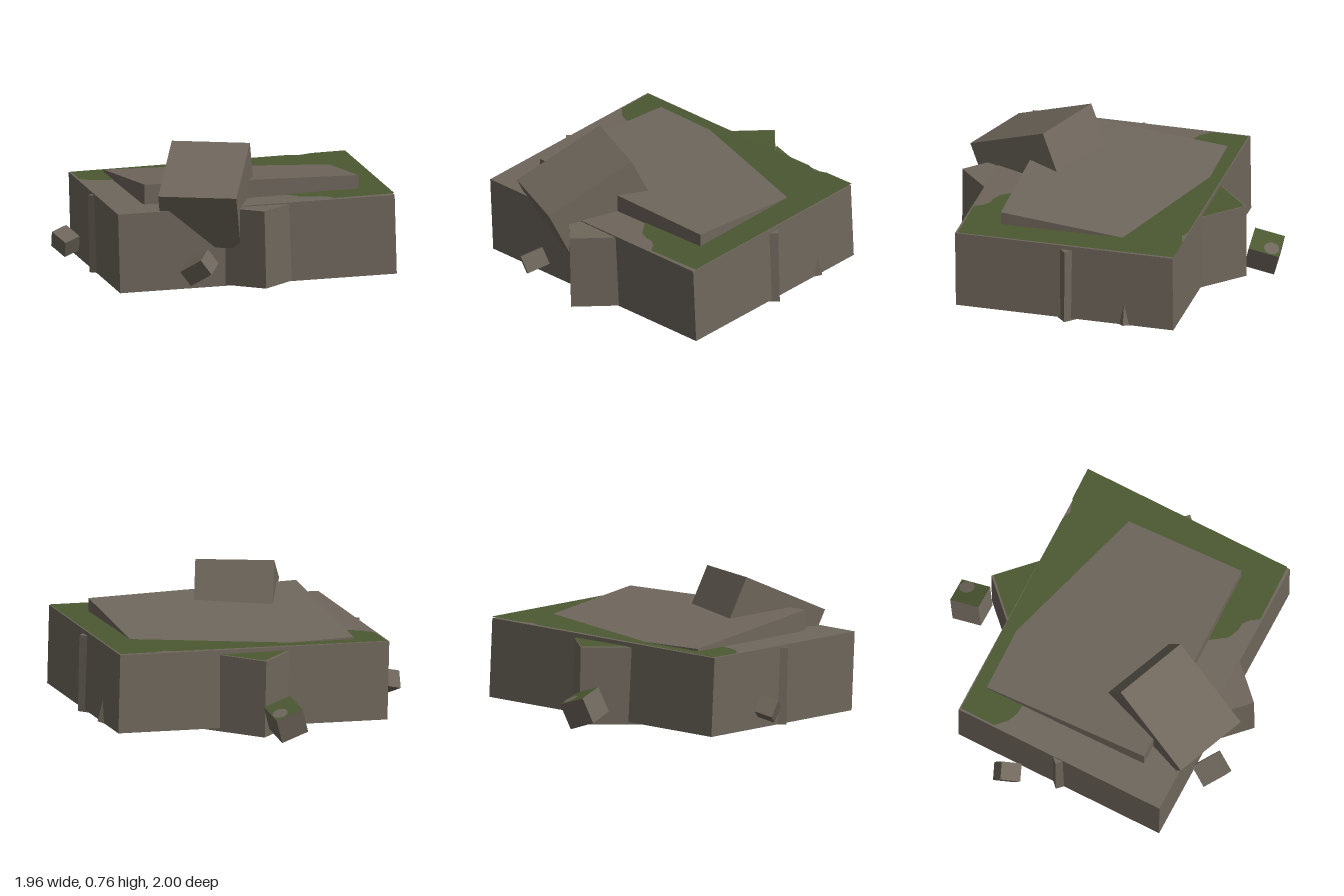
import * as THREE from 'three';

const stone = new THREE.MeshStandardMaterial({ color: 0x6f675c });
stone.name = 'stone';
const moss = new THREE.MeshStandardMaterial({ color: 0x4c5932 });
moss.name = 'moss';

// Box given by size, centre and rotation
function block(name, size, pos, rot, material = stone) {
  const mesh = new THREE.Mesh(new THREE.BoxGeometry(...size), material);
  mesh.name = name;
  mesh.position.set(...pos);
  mesh.rotation.set(...rot);
  return mesh;
}

// Slanted box given by one corner and its three edge vectors (right-handed)
function slanted(name, corner, a, b, c) {
  const m = new THREE.Matrix4().makeBasis(
    new THREE.Vector3(...a), new THREE.Vector3(...b), new THREE.Vector3(...c));
  m.setPosition(...corner);
  const geo = new THREE.BoxGeometry(1, 1, 1).translate(0.5, 0.5, 0.5).applyMatrix4(m);
  const mesh = new THREE.Mesh(geo, stone);
  mesh.name = name;
  return mesh;
}

// Thin moss patch: an outline in x, z laid on the sloping plane y = h + sx*x + sz*z
function patch(name, outline, h, sx, sz) {
  const shape = new THREE.Shape(outline.map(([x, z]) => new THREE.Vector2(x, -z)));
  const geo = new THREE.ShapeGeometry(shape).rotateX(-Math.PI / 2);
  const p = geo.attributes.position;
  for (let i = 0; i < p.count; i++) p.setY(i, h + sx * p.getX(i) + sz * p.getZ(i));
  geo.computeVertexNormals();
  const mesh = new THREE.Mesh(geo, moss);
  mesh.name = name;
  return mesh;
}

export function createModel() {
  const group = new THREE.Group();
  group.name = 'rockOutcrop';

  // Two crossed base boulders
  group.add(block('baseBoulder', [1.24, 0.44, 1.555], [0, 0.268, 0], [0.0425, -0.71, 0.007]));
  group.add(block('crossBoulder', [1.145, 0.43, 1.145], [-0.005, 0.257, -0.005], [0.02, 0.079, 0.012]));

  // Moss on the tops
  group.add(patch('baseMoss', [
    [0.03, -0.99], [0.965, -0.19], [0.75, 0.07], [0.7, 0.06], [0.65, 0.07], [0.62, 0.1],
    [0.56, 0.13], [0.45, 0.12], [0.3, 0], [-0.5, 0.1], [-0.63, 0.25], [-0.67, 0.29],
    [-0.73, 0.32], [-0.81, 0.325], [-0.965, 0.19], [-0.17, -0.745], [-0.12, -0.77], [-0.09, -0.845],
  ], 0.4925, 0.007, -0.0425));
  group.add(patch('crossMoss', [[-0.612, -0.525], [-0.3, -0.55], [-0.59, -0.2]], 0.476, 0.012, -0.02));

  // Tilted slab lying on the base
  group.add(slanted('topSlab', [-0.8, 0.495, 0.11],
    [0.77, 0.003, -0.93], [0.74, 0.082, 0.62], [0, -0.11, 0]));

  // Leaning block over the front edge
  group.add(slanted('leaningBlock', [-0.115, 0.77, 0.405],
    [0.385, 0, -0.2], [0.235, -0.225, 0.44], [-0.064, -0.3, -0.127]));

  // Loose rocks around the base
  group.add(block('frontRightRock', [0.12, 0.1, 0.1], [-0.775, 0.155, 0.495], [0.3, -0.3, -0.35]));
  group.add(block('frontLeftRock', [0.15, 0.1, 0.13], [0.32, 0.155, 0.735], [0.35, 0.3, 0.45]));
  group.add(block('backLeftRock', [0.16, 0.16, 0.16], [0.185, 0.135, -0.74], [0.2, 0.1, 0.15]));

  // Mossy rock with a bare spot
  const mossy = block('backRightRock', [0.17, 0.15, 0.16], [-0.74, 0.16, -0.51], [-0.4, -0.63, 0],
    [stone, stone, moss, stone, stone, stone]);
  const spot = new THREE.Mesh(new THREE.CircleGeometry(0.042, 16), stone);
  spot.name = 'bareSpot';
  spot.rotation.x = -Math.PI / 2;
  spot.position.set(-0.035, 0.078, -0.035);
  mossy.add(spot);
  group.add(mossy);

  return group;
}
